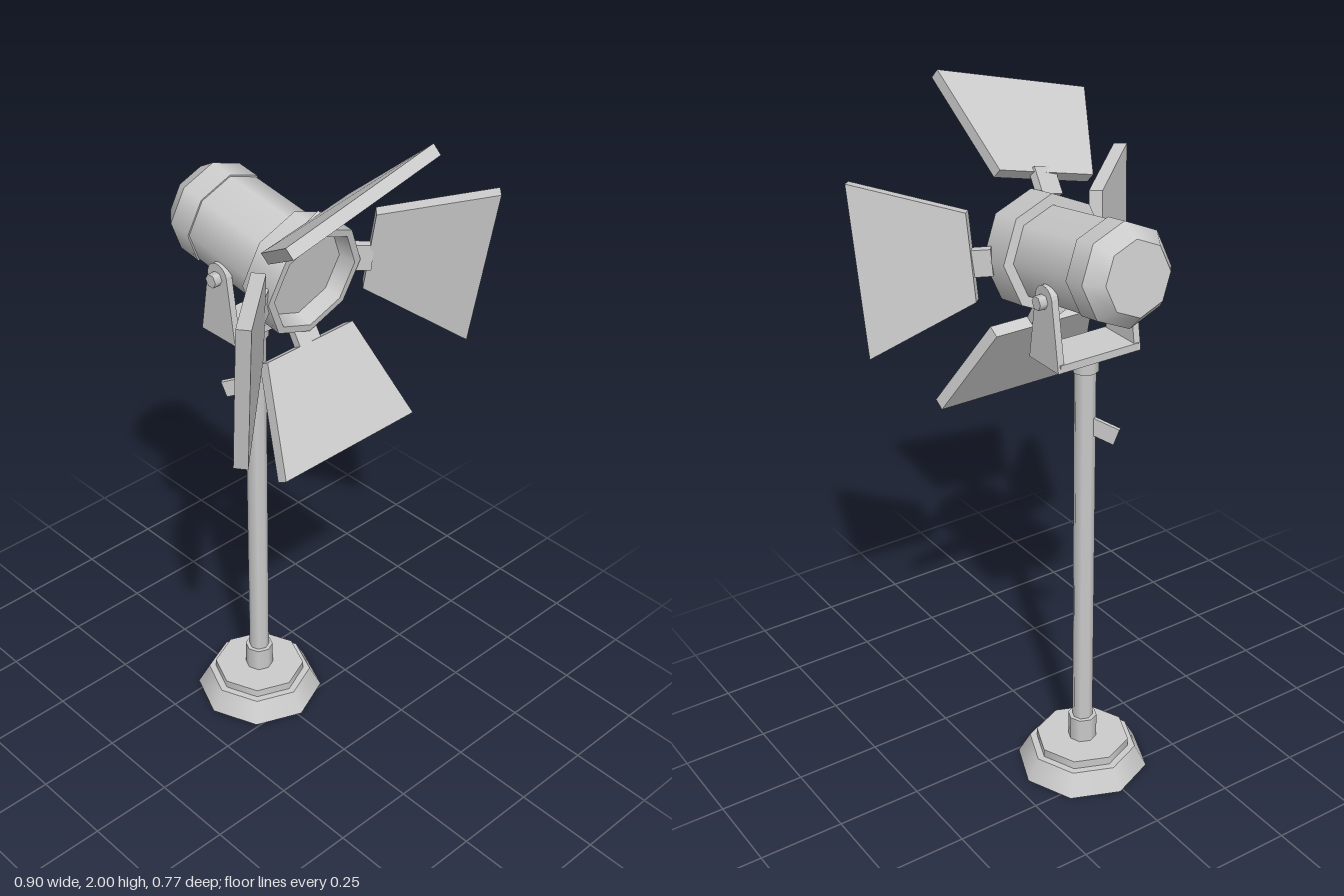
import * as THREE from 'three';

const material = new THREE.MeshStandardMaterial({ color: 0xcccccc, side: THREE.DoubleSide });
const V = (p) => new THREE.Vector3(...p);
const CX = 0.012, CZ = -0.145; // stand axis

function mesh(name, geometry, parent) {
  const m = new THREE.Mesh(geometry, material);
  m.name = name;
  parent.add(m);
  return m;
}

// Eight-sided upright drum between two heights
function drum(name, rBottom, rTop, y0, y1, parent) {
  const g = new THREE.CylinderGeometry(rTop, rBottom, y1 - y0, 8);
  return mesh(name, g.translate(CX, (y0 + y1) / 2, CZ), parent);
}

// Eight-sided drum lying along z
function barrelPart(name, rBack, rFront, z0, z1, parent, open = false) {
  const g = new THREE.CylinderGeometry(rFront, rBack, z1 - z0, 8, 1, open);
  return mesh(name, g.rotateX(Math.PI / 2).translate(0, 0, (z0 + z1) / 2), parent);
}

// Flat trapezoid panel: four corners of the inner face, thickened away from it
function panel(name, corners, thickness, parent) {
  const p = corners.map(V);
  const n = p[2].clone().sub(p[0]).cross(p[3].clone().sub(p[1])).normalize();
  const q = p.map((v) => v.clone().addScaledVector(n, -thickness));
  const pos = [];
  const quad = (a, b, c, d) => [a, b, c, a, c, d].forEach((v) => pos.push(v.x, v.y, v.z));
  quad(...p);
  quad(q[3], q[2], q[1], q[0]);
  for (let i = 0; i < 4; i++) {
    const j = (i + 1) % 4;
    quad(p[j], p[i], q[i], q[j]);
  }
  const g = new THREE.BufferGeometry();
  g.setAttribute('position', new THREE.Float32BufferAttribute(pos, 3));
  g.computeVertexNormals();
  return mesh(name, g, parent);
}

// Box bar running from a to b; its width lies square to the given up direction
function bar(name, a, b, width, thick, up, parent) {
  const from = V(a), to = V(b);
  const m = mesh(name, new THREE.BoxGeometry(width, thick, from.distanceTo(to)), parent);
  m.up.set(...up);
  m.position.copy(from).lerp(to, 0.5);
  m.lookAt(to);
  return m;
}

export function createModel() {
  const model = new THREE.Group();
  model.name = 'stageLight';

  // Stand
  const stand = new THREE.Group();
  stand.name = 'stand';
  model.add(stand);
  drum('baseFoot', 0.193, 0.158, 0, 0.065, stand);
  drum('baseStep', 0.137, 0.137, 0.065, 0.09, stand);
  drum('lowerCollar', 0.042, 0.042, 0.09, 0.165, stand);
  drum('pole', 0.03, 0.03, 0.165, 1.29, stand);
  drum('upperCollar', 0.037, 0.037, 1.29, 1.34, stand);

  // Height-lock lever behind the pole
  bar('lockLever', [CX - 0.01, 1.13, CZ - 0.015], [CX - 0.055, 1.105, CZ - 0.072], 0.012, 0.05, [0, 1, 0], stand);

  // Yoke: crossbar, two tapered arms with rounded tops, pivot bolts
  const yoke = new THREE.Group();
  yoke.name = 'yoke';
  yoke.position.set(CX, 1.34, CZ);
  model.add(yoke);
  mesh('crossbar', new THREE.BoxGeometry(0.25, 0.022, 0.134).translate(0, 0.011, 0), yoke);
  const armShape = new THREE.Shape();
  armShape.moveTo(-0.067, 0);
  armShape.lineTo(0.067, 0);
  armShape.lineTo(0.038, 0.185);
  armShape.absarc(0, 0.185, 0.038, 0, Math.PI, false);
  armShape.closePath();
  for (const s of [-1, 1]) {
    const arm = new THREE.ExtrudeGeometry(armShape, { depth: 0.02, bevelEnabled: false, curveSegments: 6 });
    arm.translate(0, 0, -0.01).rotateY(Math.PI / 2).translate(s * 0.122, 0, 0);
    mesh(s > 0 ? 'leftYokeArm' : 'rightYokeArm', arm, yoke);
    const bolt = new THREE.CylinderGeometry(0.02, 0.02, 0.06, 6);
    bolt.rotateZ(Math.PI / 2).translate(s * 0.125, 0.18, 0);
    mesh(s > 0 ? 'leftPivotBolt' : 'rightPivotBolt', bolt, yoke);
  }

  // Lamp housing, tipped slightly downward
  const lamp = new THREE.Group();
  lamp.name = 'lampHousing';
  lamp.position.set(CX, 1.593, CZ);
  lamp.rotation.set(0.155, 0, 0.035);
  model.add(lamp);
  barrelPart('barrel', 0.133, 0.133, -0.13, 0.14, lamp);
  barrelPart('rearCap', 0.138, 0.138, -0.178, -0.108, lamp);
  barrelPart('rearChamfer', 0.1, 0.138, -0.226, -0.178, lamp);
  barrelPart('frontRing', 0.163, 0.163, 0.138, 0.238, lamp, true);
  barrelPart('frontRingInside', 0.132, 0.142, 0.19, 0.238, lamp, true);
  mesh('frontRim', new THREE.RingGeometry(0.142, 0.163, 8).translate(0, 0, 0.238), lamp);
  mesh('ringBack', new THREE.RingGeometry(0.11, 0.163, 8).rotateY(Math.PI).translate(0, 0, 0.138), lamp);
  mesh('lens', new THREE.CircleGeometry(0.132, 8).translate(0, 0, 0.19), lamp);

  // Barn doors, each slab set at its own angle, corners ordered around the inner face
  const doors = new THREE.Group();
  doors.name = 'barnDoors';
  model.add(doors);
  panel('topDoor', [[-0.187, 1.695, 0.123], [-0.325, 1.855, 0.361], [0.136, 1.974, 0.381], [0.103, 1.762, 0.135]].map(([x, y, z]) => [x, y + 0.025, z - 0.02]), 0.033, doors);
  panel('leftDoor', [[0.198, 1.695, 0.122], [0.198, 1.46, 0.08], [0.426, 1.285, 0.26], [0.426, 1.755, 0.343]], 0.036, doors);
  panel('rightDoor', [[-0.187, 1.67, 0.122], [-0.426, 1.70, 0.335], [-0.374, 1.237, 0.256], [-0.156, 1.39, 0.075]], 0.038, doors);
  panel('bottomDoor', [[-0.145, 1.372, 0.078], [-0.225, 1.113, 0.235], [0.25, 1.113, 0.235], [0.165, 1.372, 0.078]], 0.036, doors);

  // Hinge tabs joining the ring to the doors
  bar('topHinge', [-0.03, 1.7, 0.08], [-0.037, 1.76, 0.13], 0.075, 0.025, [-0.25, 1, 0], doors);
  bar('leftHinge', [0.165, 1.565, 0.062], [0.212, 1.56, 0.097], 0.075, 0.025, [1, 0, -1], doors);
  bar('rightHinge', [-0.14, 1.55, 0.062], [-0.19, 1.545, 0.095], 0.075, 0.025, [-1, 0, -1], doors);
  bar('bottomHinge', [0.01, 1.414, 0.035], [0.01, 1.36, 0.068], 0.075, 0.025, [0, 0, 1], doors);

  return model;
}
